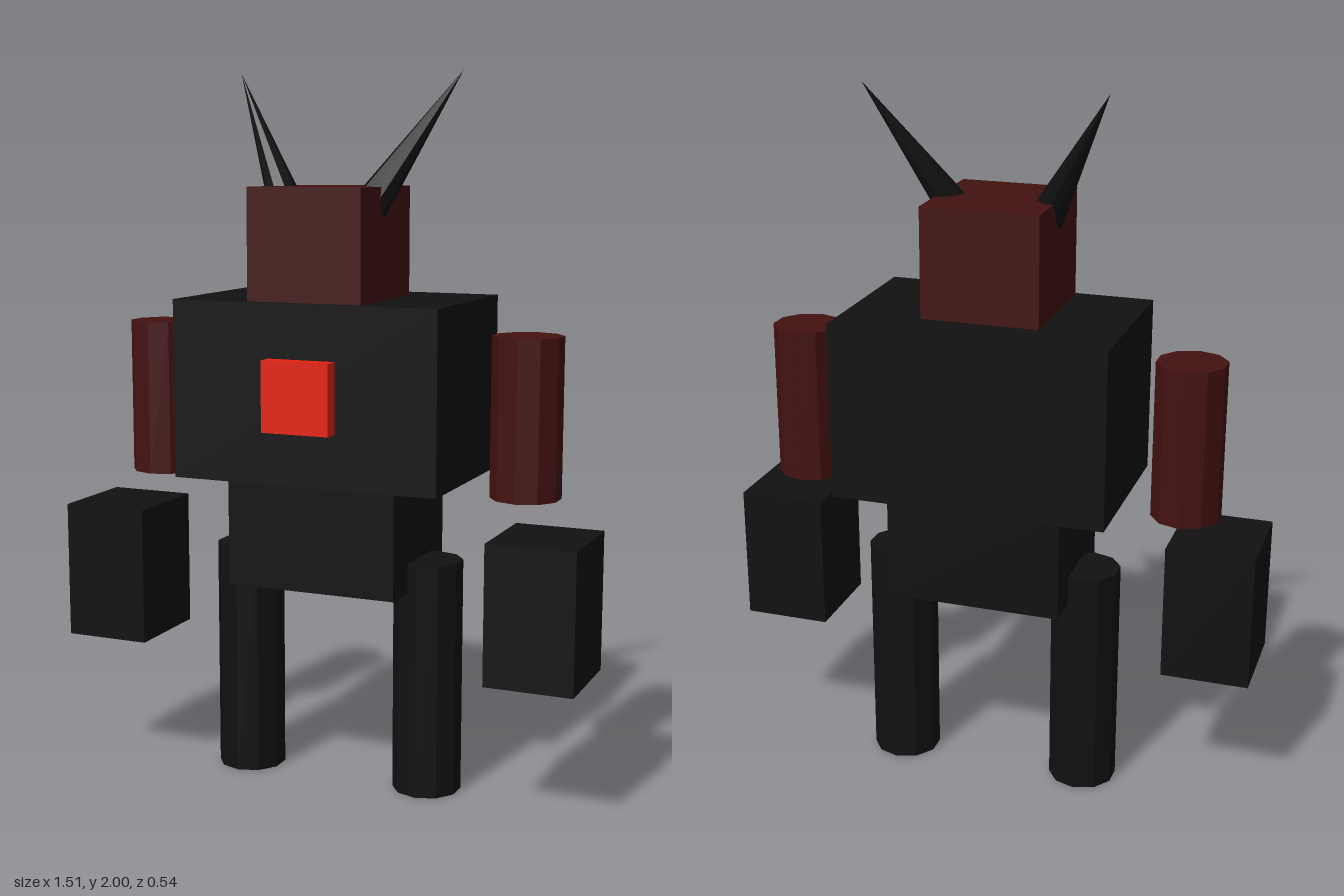
import * as THREE from 'three';

const paint = (name, color) => {
  const m = new THREE.MeshStandardMaterial({ color });
  m.name = name;
  m.flatShading = true;
  return m;
};

export function createModel() {
  const black = paint('black', 0x111111);
  const maroon = paint('maroon', 0x441111);
  const red = paint('bright red', 0xff2612);

  const model = new THREE.Group();
  model.name = 'hornedRobot';

  const add = (name, geometry, material, x, y, z) => {
    const mesh = new THREE.Mesh(geometry, material);
    mesh.name = name;
    mesh.position.set(x, y, z);
    model.add(mesh);
    return mesh;
  };
  const box = (w, h, d) => new THREE.BoxGeometry(w, h, d);

  // Body and head
  add('torso', box(0.77, 0.495, 0.495), black, 0, 1.1375, -0.0225);
  add('pelvis', box(0.494, 0.31, 0.385), black, 0, 0.74, -0.02);
  add('head', box(0.33, 0.305, 0.355), maroon, 0, 1.5375, 0.0325);
  add('chestPlate', box(0.195, 0.195, 0.06), red, 0, 1.1375, 0.24);

  // Limbs and horns, mirrored
  const limbRadius = 0.097;
  const hornTip = new THREE.Vector3(0.333, 2.0, -0.105);
  const hornBase = new THREE.Vector3(0.103, 1.6, 0.062);
  const up = new THREE.Vector3(0, 1, 0);

  for (const [side, s] of [['left', 1], ['right', -1]]) {
    add(`${side}Arm`, new THREE.CylinderGeometry(limbRadius, limbRadius, 0.44, 10),
      maroon, s * 0.552, 1.08, -0.023);
    add(`${side}Hand`, box(0.247, 0.387, 0.276), black, s * 0.634, 0.583, 0.06);
    add(`${side}Leg`, new THREE.CylinderGeometry(limbRadius, limbRadius, 0.665, 10),
      black, s * 0.275, 0.3325, -0.023);

    // Horn runs from inside the head out to its tip
    const mirror = new THREE.Vector3(s, 1, 1);
    const tip = hornTip.clone().multiply(mirror);
    const base = hornBase.clone().multiply(mirror);
    const axis = tip.clone().sub(base);
    const mid = tip.clone().add(base).multiplyScalar(0.5);
    const horn = add(`${side}Horn`, new THREE.ConeGeometry(0.055, axis.length(), 10),
      black, mid.x, mid.y, mid.z);
    horn.quaternion.setFromUnitVectors(up, axis.normalize());
  }

  return model;
}
